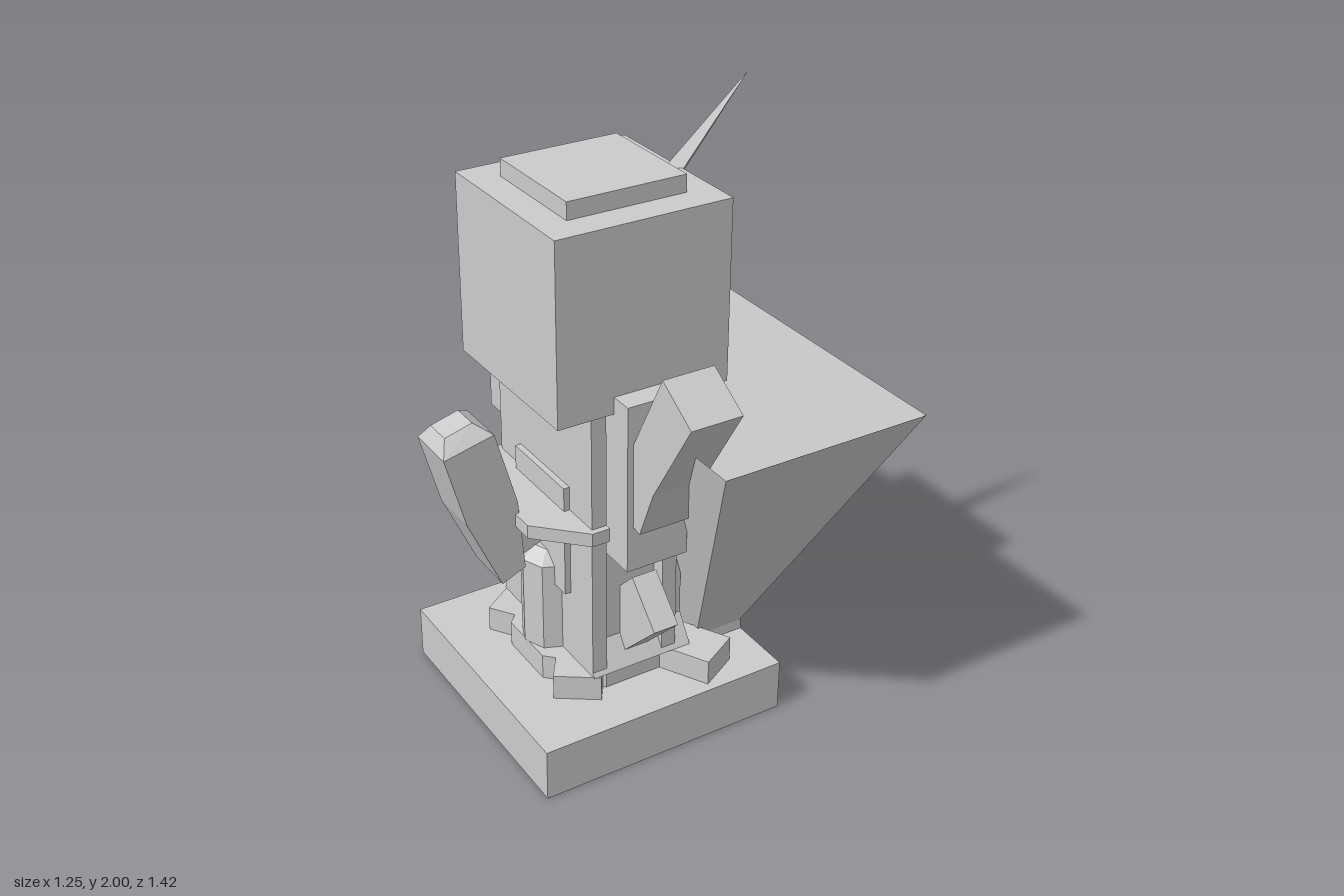
import * as THREE from 'three';

const CX = -0.08; // axis of the upright machine body

export function createModel() {
  const model = new THREE.Group();
  const mat = new THREE.MeshStandardMaterial({ color: 0xcccccc, flatShading: true, side: THREE.DoubleSide });

  function add(name, geometry, x = 0, y = 0, z = 0) {
    const mesh = new THREE.Mesh(geometry, mat);
    mesh.name = name;
    mesh.position.set(x, y, z);
    model.add(mesh);
    return mesh;
  }

  // Box given by its limits on each axis
  function box(name, x0, x1, y0, y1, z0, z1) {
    return add(name, new THREE.BoxGeometry(x1 - x0, y1 - y0, z1 - z0),
      (x0 + x1) / 2, (y0 + y1) / 2, (z0 + z1) / 2);
  }

  // Skin over four-cornered rings, with optional end caps
  function loft(rings, capStart = true, capEnd = true) {
    const index = [];
    for (let r = 0; r < rings.length - 1; r++) {
      for (let i = 0; i < 4; i++) {
        const a = r * 4 + i, b = r * 4 + (i + 1) % 4;
        index.push(a, b, b + 4, a, b + 4, a + 4);
      }
    }
    const e = (rings.length - 1) * 4;
    if (capStart) index.push(0, 2, 1, 0, 3, 2);
    if (capEnd) index.push(e, e + 1, e + 2, e, e + 2, e + 3);
    const g = new THREE.BufferGeometry();
    g.setAttribute('position', new THREE.Float32BufferAttribute(rings.flat(2), 3));
    g.setIndex(index);
    g.computeVertexNormals();
    return g;
  }

  // Rectangle at height y, wound so that rising rings face outwards
  const rect = (x0, x1, z, y) => [[x0, y, z], [x1, y, z], [x1, y, -z], [x0, y, -z]];

  // Bent arm: rows of [outer distance, outer y, inner distance, inner y, half width]
  function arm(name, rows) {
    return add(name, loft(rows.map(([o, oy, i, iy, h]) =>
      [[-h, oy, o], [h, oy, o], [h, iy, i], [-h, iy, i]])));
  }

  // Base and head
  box('base', -0.5, 0.355, 0, 0.175, -0.43, 0.43);
  box('head', -0.365, 0.21, 1.175, 1.755, -0.29, 0.29);
  box('headCap', -0.27, 0.12, 1.755, 1.81, -0.19, 0.19);

  // Slanted spike on the head
  const from = new THREE.Vector3(0.19, 1.73, 0), dir = new THREE.Vector3(0.265, 0.27, 0);
  const spike = add('spike', new THREE.ConeGeometry(0.034, dir.length(), 4),
    from.x + dir.x / 2, from.y + dir.y / 2, 0);
  spike.quaternion.setFromUnitVectors(new THREE.Vector3(0, 1, 0), dir.clone().normalize());

  // Open hopper
  add('hopper', loft([rect(0.18, 0.35, 0.21, 0.21), rect(-0.08, 0.62, 0.71, 1.14)], true, false));
  box('hopperFoot', 0.17, 0.355, 0.175, 0.21, -0.21, 0.21);

  // Body with a flared skirt and footing
  box('body', -0.25, 0.1, 0.26, 1.18, -0.23, 0.23);
  add('skirt', loft([rect(-0.25, 0.1, 0.29, 0.26), rect(-0.25, 0.1, 0.23, 0.35)]));
  add('footing', new THREE.CylinderGeometry(0.27, 0.27, 0.085, 8).rotateY(Math.PI / 8), CX, 0.2175, 0);
  box('sideRail', -0.27, -0.2, 0.5, 0.88, -0.15, 0.15);

  for (const s of [1, -1]) {
    // Turned feet, slanted spouts and upright struts on both faces
    add('foot', new THREE.BoxGeometry(0.15, 0.085, 0.22), 0.11, 0.2175, s * 0.27).rotation.y = s * 0.5;
    add('sideFoot', new THREE.BoxGeometry(0.15, 0.085, 0.18), -0.24, 0.2175, s * 0.18).rotation.y = -s * 0.6;
    add('spout', new THREE.BoxGeometry(0.085, 0.18, 0.24), CX, 0.45, s * 0.28).rotation.x = -s * Math.PI / 4;
    box('strut', -0.25, -0.2, 0.27, 1.18, s * 0.25 - 0.03, s * 0.25 + 0.03);
    box('strut', 0.0, 0.05, 0.27, 1.18, s * 0.25 - 0.03, s * 0.25 + 0.03);
  }

  // Front panel and twin back panels
  box('frontPanel', -0.18, 0.03, 0.675, 1.23, 0.22, 0.365);
  box('backPanel', -0.18, -0.1, 0.675, 1.23, -0.365, -0.22);
  box('backPanel', -0.07, 0.03, 0.675, 1.23, -0.365, -0.22);
  box('backBlock', -0.16, 0, 0.82, 0.96, -0.52, -0.3);

  // Tank with a chamfered top
  add('tank', new THREE.LatheGeometry([[0, 0.26], [0.1, 0.26], [0.1, 0.565], [0.055, 0.605], [0, 0.605]]
    .map(([r, y]) => new THREE.Vector2(r, y)), 8), -0.235, 0, 0);

  // Curved bracket that holds the right arm
  const outline = new THREE.Shape([[-0.2, -0.3], [-0.26, -0.3], [-0.4, -0.16], [-0.4, 0.16], [-0.26, 0.3], [-0.2, 0.3]]
    .map(([x, z]) => new THREE.Vector2(x, z)));
  add('armBracket', new THREE.ExtrudeGeometry(outline, { depth: 0.045, bevelEnabled: false })
    .rotateX(Math.PI / 2), 0, 0.8, 0);
  add('armLink', new THREE.BoxGeometry(0.2, 0.08, 0.08), -0.3, 0.68, 0).rotation.z = 0.38;

  // Bent arms at the right and the front
  arm('rightArm', [
    [0.45, 0.565, 0.37, 0.6, 0.085], [0.56, 0.81, 0.39, 0.84, 0.085],
    [0.625, 1.05, 0.46, 1.09, 0.085], [0.6, 1.1, 0.51, 1.125, 0.045],
  ]).rotation.y = -Math.PI / 2;
  arm('frontArm', [
    [0.4, 0.82, 0.3, 0.84, 0.085], [0.47, 0.99, 0.34, 1.06, 0.085],
    [0.655, 1.29, 0.51, 1.38, 0.085],
  ]).position.x = -0.075;

  // Leaning arm at the back left corner, reaching into the hopper
  const backArm = add('backArm', new THREE.BoxGeometry(0.13, 0.4, 0.27), 0.18, 1.03, -0.27);
  backArm.rotation.set(-0.2, 0.41, -0.1, 'YXZ');

  return model;
}
